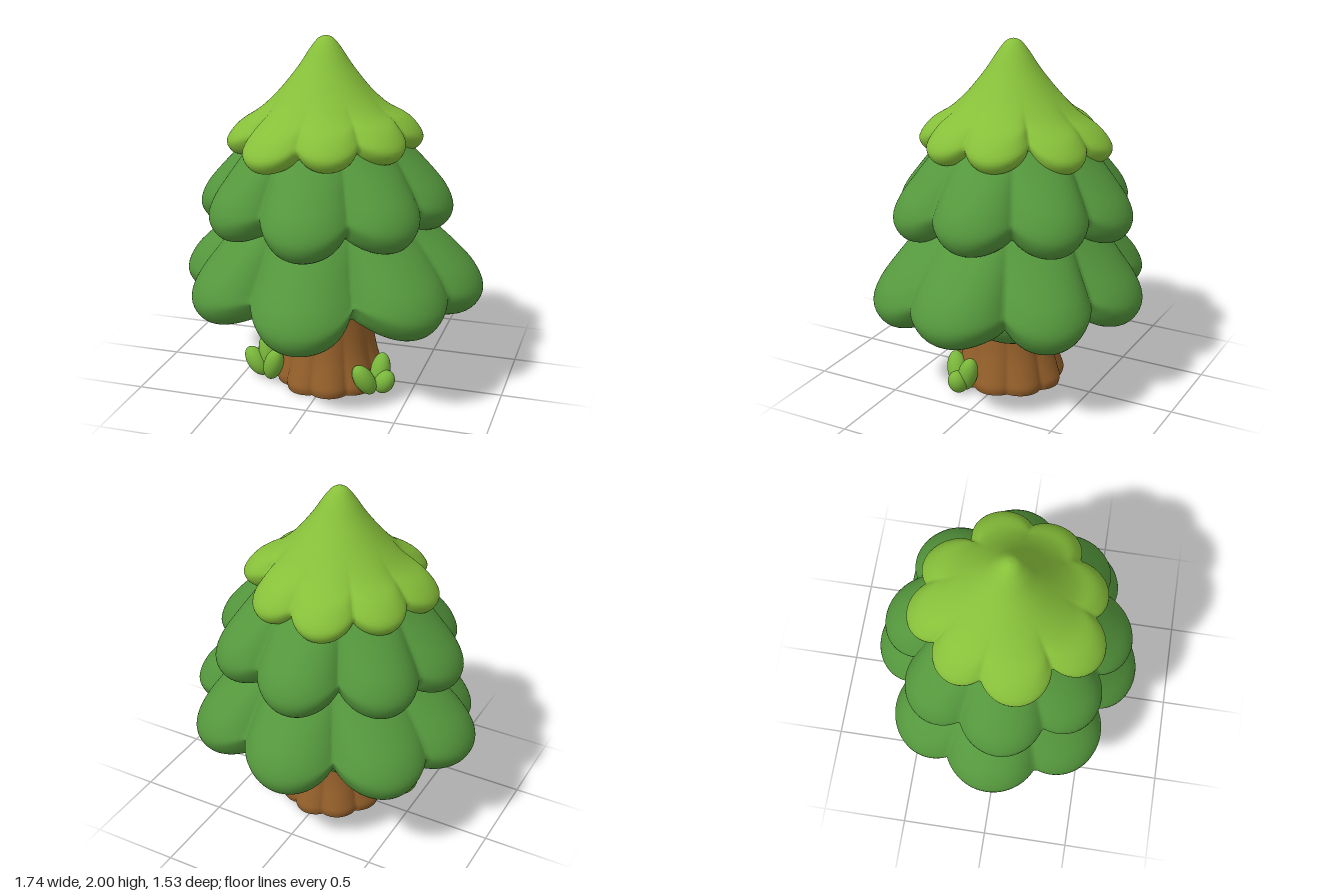
import * as THREE from 'three';
import { mergeVertices } from 'three/addons/utils/BufferGeometryUtils.js';

const mat = (name, color) => Object.assign(new THREE.MeshStandardMaterial({ color }), { name });
const smooth = (a, b, v) => THREE.MathUtils.smoothstep(v, a, b);

// Closed surface from rings: point(u, angle) runs top to bottom, then inward
function loft(rows, cols, point) {
  const pos = [], idx = [];
  for (let i = 0; i <= rows; i++)
    for (let j = 0; j <= cols; j++) pos.push(...point(i / rows, ((j % cols) / cols) * Math.PI * 2));
  for (let i = 0; i < rows; i++)
    for (let j = 0; j < cols; j++) {
      const a = i * (cols + 1) + j, c = a + cols + 1;
      idx.push(a, a + 1, c, a + 1, c + 1, c);
    }
  const g = new THREE.BufferGeometry();
  g.setAttribute('position', new THREE.Float32BufferAttribute(pos, 3));
  g.setIndex(idx);
  const merged = mergeVertices(g, 1e-5);
  merged.computeVertexNormals();
  return merged;
}

const spline = (pts) => new THREE.SplineCurve(pts.map(([x, y]) => new THREE.Vector2(x, y)));

// Skirt of foliage whose outline is a ring of round lobes [angle, reach, tip height, lobe radius]
function skirt({ cx, cz, lobes, profile, lift, puff, blend }) {
  const curve = spline(profile);
  const mean = lobes.reduce((s, l) => s + l[1], 0) / lobes.length - 0.02;
  const meanY = lobes.reduce((s, l) => s + l[2], 0) / lobes.length;
  const outline = (t) => {
    let reach = 0, tip = 0, ySum = 0, wSum = 0;
    for (const [deg, R, y, radius] of lobes) {
      const d = t - THREE.MathUtils.degToRad(deg), delta = Math.atan2(Math.sin(d), Math.cos(d));
      const w = Math.exp(-((delta / 0.33) ** 2));
      ySum += w * y; wSum += w; tip += w * R;
      if (Math.abs(delta) > 1) continue;
      const c = R - radius;
      const r = c * Math.cos(delta) + Math.sqrt(Math.max(0, radius ** 2 - (c * Math.sin(delta)) ** 2));
      reach = Math.max(reach, r);
    }
    return { reach, y: ySum / wSum, drop: Math.max(0, tip / wSum - reach) };
  };
  return loft(48, 240, (u, t) => {
    const p = curve.getPoint(u), f = Math.max(0, p.x), o = outline(t);
    const w = smooth(blend, 0.95, f);
    // Lobes are thickest along their middle and thin out at the notches
    const thin = puff * o.drop * (smooth(-0.1, 0.1, -p.y) - smooth(-0.1, 0.1, p.y));
    const r = f * THREE.MathUtils.lerp(mean, o.reach, w);
    const y = p.y + meanY + (o.y - meanY + o.drop * lift + thin) * w;
    return [cx + r * Math.cos(t), y, cz + r * Math.sin(t)];
  });
}

export function createModel() {
  const tree = new THREE.Group();
  tree.name = 'pineTree';
  const darkGreen = mat('pineGreen', 0x55983d);
  const lightGreen = mat('freshGreen', 0x87c03a);
  const leafGreen = mat('leafGreen', 0x79b63b);
  const bark = mat('barkBrown', 0x945f2a);
  const add = (name, geo, material) => {
    const m = new THREE.Mesh(geo, material);
    m.name = name;
    tree.add(m);
    return m;
  };

  // Foliage tiers
  const broad = (k) => [[0, 0.82], [0.2, 0.76], [0.4, 0.61], [0.58, 0.45], [0.7, 0.34], [0.83, 0.225], [0.95, 0.105],
    [1, 0], [0.97, -0.08], [0.89, -0.13], [0.77, -0.125], [0.55, -0.02], [0.3, 0.1], [0, 0.14]].map(([f, y]) => [f, y * k]);
  add('lowerTier', skirt({
    cx: 0, cz: 0, lift: 0.5, puff: 0.3, blend: 0.4, profile: broad(1),
    lobes: [[-1, 0.865, 0.63, 0.28], [35, 0.83, 0.6, 0.28], [91, 0.765, 0.53, 0.3], [143, 0.82, 0.57, 0.28],
      [180, 0.87, 0.62, 0.28], [216, 0.83, 0.59, 0.27], [266, 0.77, 0.59, 0.28], [315.5, 0.8, 0.59, 0.27]],
  }), darkGreen);
  add('middleTier', skirt({
    cx: -0.035, cz: 0, lift: 0.5, puff: 0.3, blend: 0.4, profile: broad(0.92),
    lobes: [[-3, 0.715, 1.08, 0.24], [39, 0.71, 1.05, 0.23], [86, 0.7, 1.02, 0.25], [134, 0.7, 1.05, 0.23],
      [175, 0.725, 1.04, 0.24], [217, 0.7, 1.05, 0.23], [267, 0.69, 1.05, 0.24], [312.5, 0.7, 1.07, 0.23]],
  }), darkGreen);
  add('topTier', skirt({
    cx: -0.035, cz: 0.01, lift: 0.5, puff: 0.25, blend: 0.45,
    profile: [[0, 0.565], [0.08, 0.548], [0.17, 0.49], [0.29, 0.395], [0.48, 0.27], [0.68, 0.165], [0.88, 0.09],
      [1, 0], [0.97, -0.06], [0.88, -0.085], [0.76, -0.06], [0.5, 0.02], [0, 0.08]],
    lobes: [[-14, 0.535, 1.46, 0.17], [28, 0.53, 1.45, 0.17], [72, 0.53, 1.44, 0.17], [115, 0.57, 1.41, 0.18],
      [167, 0.55, 1.42, 0.19], [212, 0.53, 1.43, 0.17], [254, 0.55, 1.42, 0.17], [295, 0.53, 1.43, 0.17]],
  }), lightGreen);

  // Low inner boughs beside and behind the trunk
  for (const [name, side] of [['innerBoughLeft', 1], ['innerBoughRight', -1]]) {
    const bough = add(name, new THREE.SphereGeometry(1, 40, 28), darkGreen);
    bough.position.set(side * 0.2 - 0.01, 0.53, -0.13);
    bough.scale.set(0.29, 0.2, 0.22);
    bough.rotation.y = -side * Math.PI / 4;
  }

  // Trunk with root ridges that deepen toward the ground
  const side = spline([[0.2, 0.85], [0.225, 0.55], [0.235, 0.38], [0.255, 0.22], [0.285, 0.1], [0.3, 0.04], [0.292, 0]]);
  const ridge = (p, t) => {
    const r = p.x * (1 + (0.008 + 0.045 * smooth(-0.45, 0, -p.y)) * (2 * Math.abs(Math.cos(4.5 * t + 0.4)) ** 0.8 - 1.1));
    return [r * Math.cos(t), p.y, 0.025 + 1.06 * r * Math.sin(t)];
  };
  add('trunk', loft(24, 144, (u, t) => ridge(side.getPoint(u), t)), bark);
  add('trunkUnderside', loft(1, 144, (u, t) => ridge({ x: 0.292 * (1 - u), y: 0 }, t)), bark);

  // Leaf tufts: each leaf is an ellipsoid from base to tip
  const tufts = {
    leafTuftLeft: [[[0.31, 0, 0.15], [0.33, 0.21, 0.09]], [[0.3, 0, 0.19], [0.215, 0.18, 0.26]], [[0.32, 0, 0.16], [0.39, 0.13, 0.165]]],
    leafTuftRight: [[[-0.34, 0, 0.13], [-0.375, 0.25, 0.1]], [[-0.33, 0, 0.18], [-0.265, 0.2, 0.22]], [[-0.36, 0, 0.14], [-0.475, 0.16, 0.14]]],
  };
  for (const [name, leaves] of Object.entries(tufts)) {
    const tuft = new THREE.Group();
    tuft.name = name;
    for (const [base, tip] of leaves) {
      const a = new THREE.Vector3(...base), b = new THREE.Vector3(...tip);
      const leaf = new THREE.Mesh(new THREE.SphereGeometry(1, 20, 16), leafGreen);
      leaf.name = 'leaf';
      leaf.position.lerpVectors(a, b, 0.52);
      leaf.scale.set(0.057, a.distanceTo(b) * 0.49, 0.057);
      leaf.quaternion.setFromUnitVectors(new THREE.Vector3(0, 1, 0), b.clone().sub(a).normalize());
      tuft.add(leaf);
    }
    tree.add(tuft);
  }
  return tree;
}
